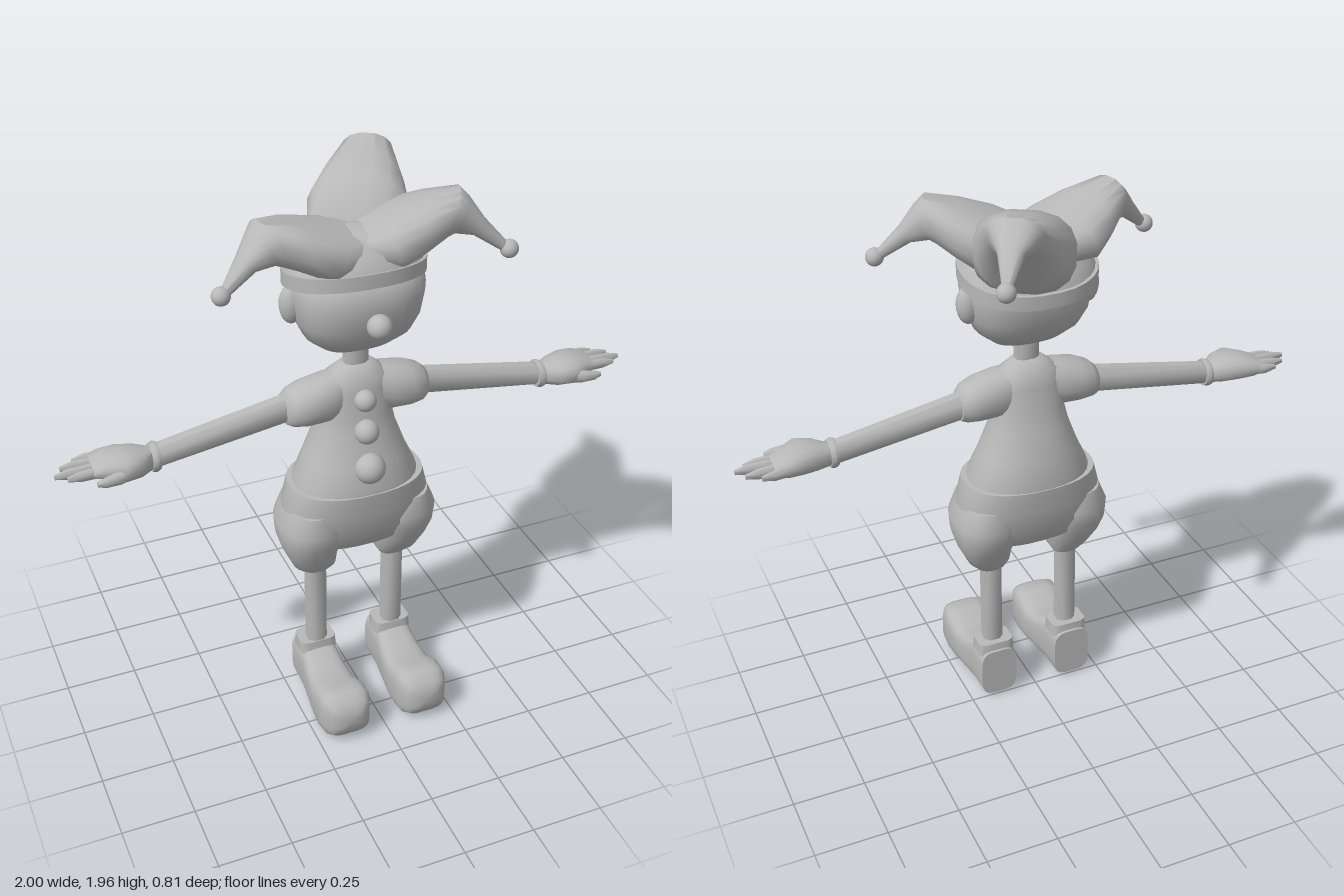
import * as THREE from 'three';
import { toCreasedNormals } from 'three/addons/utils/BufferGeometryUtils.js';

const V = (x, y, z) => new THREE.Vector3(x, y, z);

// Closed cross-section: c + u*cos + v*sin, e < 1 makes it squarer.
// u x v must point along the direction of travel.
function ring(c, u, v, e = 1, n = 20) {
  const f = (t) => Math.sign(t) * Math.pow(Math.abs(t), e);
  return Array.from({ length: n }, (_, i) => {
    const a = ((i + 0.5) / n) * Math.PI * 2;
    return c.clone().addScaledVector(u, f(Math.cos(a))).addScaledVector(v, f(Math.sin(a)));
  });
}

// Skin over a list of rings, with both ends capped.
function loft(rings, crease = 0.8) {
  const n = rings[0].length, pts = rings.flat(), idx = [];
  for (let r = 0; r < rings.length - 1; r++) {
    for (let i = 0; i < n; i++) {
      const a = r * n + i, b = r * n + ((i + 1) % n);
      idx.push(a, b, b + n, a, b + n, a + n);
    }
  }
  const ends = [rings[0], rings[rings.length - 1]];
  ends.forEach((end, k) => {
    const mid = end.reduce((s, p) => s.add(p), V(0, 0, 0)).divideScalar(n);
    const m = pts.push(mid) - 1, o = k ? (rings.length - 1) * n : 0;
    for (let i = 0; i < n; i++) {
      const a = o + i, b = o + ((i + 1) % n);
      idx.push(...(k ? [m, a, b] : [m, b, a]));
    }
  });
  const g = new THREE.BufferGeometry().setFromPoints(pts);
  g.setIndex(idx);
  return toCreasedNormals(g, crease);
}

// Upright loft; rows are [y, centre x, half width, back z, front z]
const loftY = (rows, e, n, crease) => loft(rows.map(([y, x, w, z0, z1]) =>
  ring(V(x, y, (z0 + z1) / 2), V(0, 0, (z1 - z0) / 2), V(w, 0, 0), e, n)), crease);

// Sideways loft; rows are [x, y, half height, z, half depth]
const loftX = (rows, e, n, crease) => loft(rows.map(([x, y, h, z, d]) =>
  ring(V(x, y, z), V(0, h, 0), V(0, 0, d), e, n)), crease);

// Forward loft; rows are [z, bottom y, top y, half width]
const loftZ = (rows, x, e, n) => loft(rows.map(([z, y0, y1, w]) =>
  ring(V(x, (y0 + y1) / 2, z), V(w, 0, 0), V(0, (y1 - y0) / 2, 0), e, n)));

// Mirrored copy across x = 0 with the winding restored
function mirrored(geo) {
  const g = geo.index ? geo.toNonIndexed() : geo.clone();
  g.scale(-1, 1, 1);
  for (const name of ['position', 'normal']) {
    const a = g.attributes[name].array;
    for (let i = 0; i < a.length; i += 9) {
      for (let k = 0; k < 3; k++) [a[i + 3 + k], a[i + 6 + k]] = [a[i + 6 + k], a[i + 3 + k]];
    }
  }
  return g;
}

export function createModel() {
  const model = new THREE.Group();
  model.name = 'jester';
  const grey = new THREE.MeshStandardMaterial({ color: 0xb8b8b8 });
  grey.name = 'plain grey';

  const add = (name, geo) => {
    const m = new THREE.Mesh(geo, grey);
    m.name = name;
    model.add(m);
  };
  const pair = (name, geo) => {
    add(name + 'Left', geo);
    add(name + 'Right', mirrored(geo));
  };
  const ball = (x, y, z, r) => new THREE.SphereGeometry(r, 20, 14).translate(x, y, z);

  // Head, ears, nose and neck
  add('head', loftY([
    [1.40, 0, 0.06, 0.04, 0.12], [1.415, 0, 0.12, 0.005, 0.155], [1.46, 0, 0.175, -0.045, 0.205],
    [1.52, 0, 0.203, -0.08, 0.235], [1.60, 0, 0.215, -0.093, 0.25], [1.66, 0, 0.21, -0.09, 0.24],
    [1.72, 0, 0.16, -0.04, 0.18]], 0.8, 28, 1.2));
  pair('ear', new THREE.SphereGeometry(1, 16, 12).scale(0.04, 0.066, 0.036).translate(0.208, 1.57, 0.055));
  add('nose', ball(0, 1.55, 0.265, 0.04));
  add('neck', loftY([[1.30, 0, 0.042, 0.045, 0.105], [1.42, 0, 0.042, 0.045, 0.105]], 0.8, 8));

  // Hat: tilted band, low crown and three drooping horns with bells
  const hatRing = (y, s) => ring(V(0, y, 0.06), V(0, 0.039 * s, 0.185 * s), V(0.23 * s, 0, 0), 0.9, 28);
  add('hatBand', loft([hatRing(1.632, 1), hatRing(1.68, 1)]));
  add('hatCrown', loft([hatRing(1.67, 0.97), hatRing(1.73, 0.85), hatRing(1.79, 0.5), hatRing(1.81, 0.1)], 1.2));
  const horns = [
    { name: 'Left', x: 0.455, z: 0.22, peak: 1.91, end: 1.71, low: 1.69 },
    { name: 'Right', x: -0.465, z: 0.16, peak: 1.89, end: 1.695, low: 1.68 },
    { name: 'Back', x: 0.255, z: -0.375, peak: 1.965, end: 1.80, low: 1.65 },
  ];
  for (const { name, x, z, peak, end, low } of horns) {
    const d = V(x, 0, z - 0.04), len = d.length();
    d.normalize();
    const side = V(d.z, 0, -d.x);
    // [top r, top y, bottom r, bottom y, half width]
    const rows = [
      [0.0, 1.80, 0.0, 1.69, 0.14],
      [0.11, peak - 0.06, 0.17, low, 0.165],
      [0.22, peak - 0.025, 0.235, low + 0.04, 0.135],
      [0.33, peak, 0.29, peak - 0.145, 0.088],
      [0.36, peak - 0.03, 0.31, peak - 0.135, 0.07],
      [0.41, end + 0.10, 0.37, end + 0.055, 0.042],
      [len, end + 0.015, len - 0.02, end - 0.008, 0.014],
    ];
    add('hatHorn' + name, loft(rows.map(([tr, ty, br, by, w]) => {
      const T = d.clone().multiplyScalar(tr).add(V(0, ty, 0.04));
      const B = d.clone().multiplyScalar(br).add(V(0, by, 0.04));
      return ring(T.clone().add(B).multiplyScalar(0.5), side.clone().multiplyScalar(w),
        T.sub(B).multiplyScalar(0.5), 0.8, 16);
    }), 1));
    add('bell' + name, ball(x, end, z, 0.03));
  }

  // Shirt with short sleeves and three buttons
  add('shirt', loftY([
    [0.88, 0, 0.218, -0.09, 0.228], [0.92, 0, 0.212, -0.09, 0.227], [1.0, 0, 0.175, -0.075, 0.205],
    [1.1, 0, 0.138, -0.045, 0.172], [1.16, 0, 0.125, -0.025, 0.158], [1.25, 0, 0.122, -0.01, 0.15],
    [1.295, 0, 0.105, 0.0, 0.142], [1.335, 0, 0.055, 0.035, 0.11]], 0.9, 28, 1));
  pair('sleeve', loftX([
    [0.04, 1.235, 0.08, 0.072, 0.06], [0.11, 1.225, 0.083, 0.075, 0.076], [0.18, 1.217, 0.076, 0.075, 0.078],
    [0.225, 1.21, 0.064, 0.072, 0.068], [0.247, 1.205, 0.05, 0.068, 0.05]], 0.9, 20, 1));
  [[1.23, 0.16, 0.037], [1.12, 0.173, 0.042], [0.995, 0.2, 0.053]].forEach(([y, z, r], i) =>
    add('button' + (i + 1), ball(0, y, z, r)));

  // Baggy breeches
  add('breechesSeat', loftY([
    [0.635, 0, 0.13, 0.0, 0.13], [0.67, 0, 0.2, -0.045, 0.18], [0.74, 0, 0.255, -0.075, 0.21],
    [0.82, 0, 0.258, -0.088, 0.225], [0.905, 0, 0.235, -0.094, 0.232]], 0.85, 28, 1));
  pair('breechesLeg', loftY([
    [0.54, 0.145, 0.05, 0.025, 0.105], [0.57, 0.152, 0.075, 0.005, 0.135], [0.635, 0.166, 0.092, -0.035, 0.17],
    [0.70, 0.166, 0.112, -0.065, 0.2], [0.76, 0.165, 0.115, -0.077, 0.215], [0.83, 0.165, 0.085, -0.06, 0.2]],
    0.85, 20, 1));

  // Legs and big-toed shoes
  pair('leg', loftY([[0.19, 0.145, 0.037, 0.03, 0.1], [0.57, 0.145, 0.037, 0.032, 0.1]], 0.8, 8));
  pair('shoe', loftZ([
    [-0.005, 0.012, 0.2, 0.068], [0.1, 0.01, 0.2, 0.07], [0.165, 0.008, 0.165, 0.077], [0.235, 0.004, 0.155, 0.086],
    [0.3, 0.0, 0.188, 0.091], [0.35, 0.01, 0.188, 0.089], [0.385, 0.03, 0.165, 0.073], [0.403, 0.065, 0.13, 0.04]],
    0.145, 0.5, 20));
  pair('shoeCuff', loftY([[0.18, 0.145, 0.068, 0.003, 0.108], [0.226, 0.145, 0.066, 0.008, 0.102]], 0.4, 12));

  // Arms, cuffs and hands
  pair('arm', loftX([[0.22, 1.21, 0.047, 0.066, 0.038], [0.7, 1.13, 0.038, 0.066, 0.036]], 0.8, 8));
  pair('cuff', loftX([
    [0.67, 1.133, 0.046, 0.068, 0.046], [0.682, 1.132, 0.05, 0.068, 0.051], [0.696, 1.13, 0.046, 0.068, 0.046]], 1, 16));
  pair('palm', loftX([
    [0.69, 1.13, 0.034, 0.068, 0.036], [0.74, 1.136, 0.044, 0.076, 0.066], [0.79, 1.14, 0.046, 0.076, 0.08],
    [0.845, 1.138, 0.036, 0.058, 0.068], [0.885, 1.136, 0.02, 0.053, 0.06]], 0.8, 16, 1));
  const fingers = [[0.93, 0.008, 0.0], [0.975, 0.037, 0.03], [1.0, 0.067, 0.07], [0.965, 0.096, 0.097]];
  fingers.forEach(([tip, z, zTip], i) => pair('finger' + (i + 1), loftX([
    [0.85, 1.136, 0.019, z, 0.015], [tip - 0.04, 1.135, 0.017, zTip, 0.0135],
    [tip, 1.134, 0.008, zTip, 0.007]], 0.9, 8)));
  pair('thumb', loftX([
    [0.75, 1.133, 0.025, 0.115, 0.025], [0.81, 1.13, 0.022, 0.142, 0.019],
    [0.86, 1.128, 0.017, 0.149, 0.014], [0.885, 1.128, 0.008, 0.149, 0.007]], 0.9, 10));

  return model;
}
